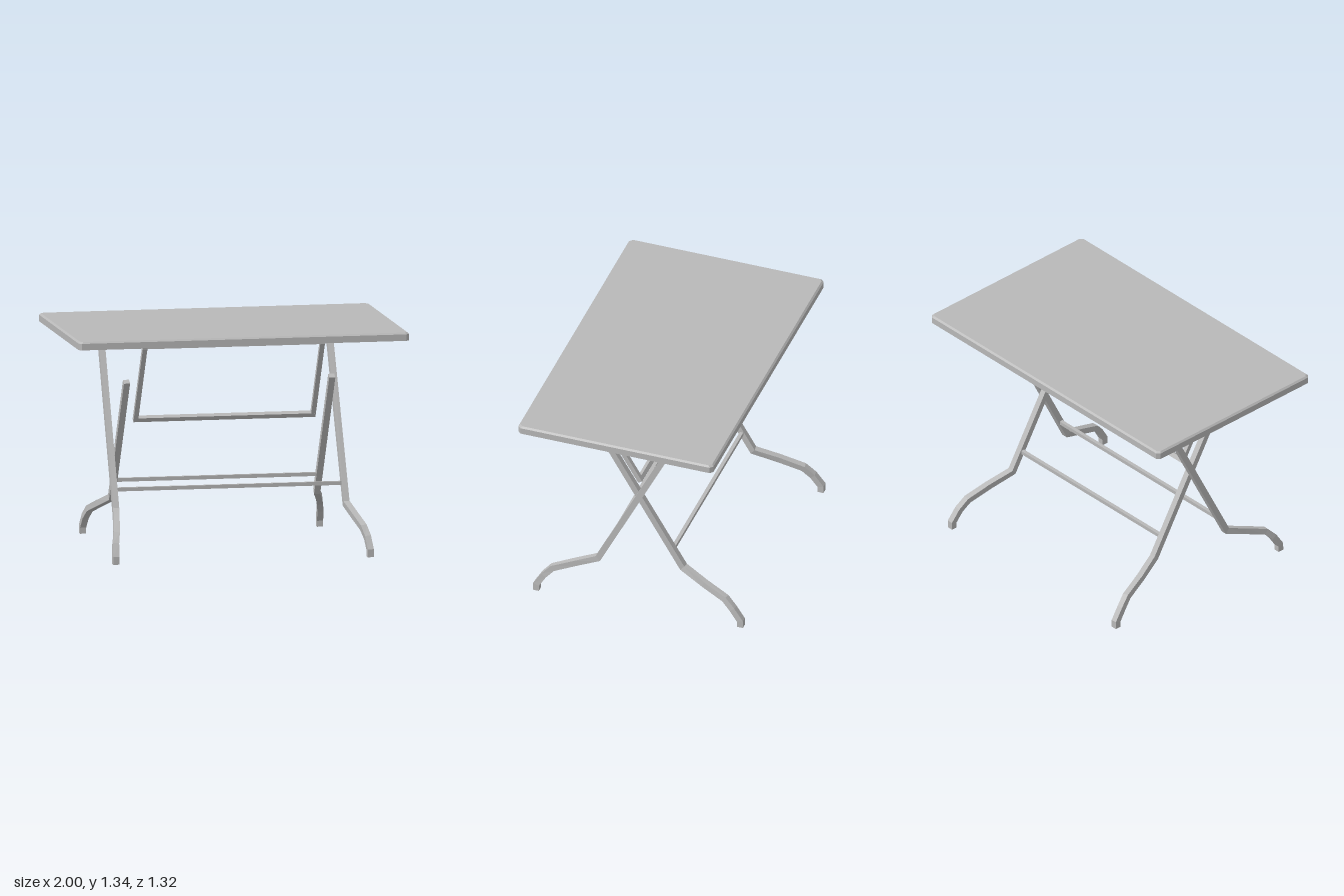
import * as THREE from 'three';

const V = (x, y, z) => new THREE.Vector3(x, y, z);

// Square tube swept along a polyline with mitred joints; ref sets the roll of the section
function squareTube(points, size, ref = V(1, 0, 0)) {
  const h = size / 2, last = points.length - 1;
  const dirs = points.slice(1).map((p, i) => p.clone().sub(points[i]).normalize());
  const rings = points.map((p, i) => {
    const before = dirs[Math.max(i - 1, 0)], after = dirs[Math.min(i, last - 1)];
    const t = before.clone().add(after).normalize();
    const s = ref.clone().addScaledVector(t, -ref.dot(t)).normalize();
    const n = t.clone().cross(s);
    const mitre = h / t.dot(after);
    return [[1, 1], [-1, 1], [-1, -1], [1, -1]].map(([a, b]) =>
      p.clone().addScaledVector(s, a * h).addScaledVector(n, b * mitre));
  });
  const verts = [];
  const quad = (a, b, c, d) => [a, b, c, a, c, d].forEach((v) => verts.push(v.x, v.y, v.z));
  for (let i = 0; i < last; i++) {
    for (let k = 0; k < 4; k++) {
      const j = (k + 1) % 4;
      quad(rings[i][k], rings[i][j], rings[i + 1][j], rings[i + 1][k]);
    }
  }
  quad(...rings[0].slice().reverse());
  quad(...rings[last]);
  const g = new THREE.BufferGeometry();
  g.setAttribute('position', new THREE.Float32BufferAttribute(verts, 3));
  g.computeVertexNormals();
  return g;
}

// Slab with clipped corners and a small bevel round the upper edge
function topGeometry() {
  const w = 1, d = 0.613, c = 0.018, bevel = 0.01;
  const outline = [[w, d - c], [w - c, d], [c - w, d], [-w, d - c],
    [-w, c - d], [c - w, -d], [w - c, -d], [w, c - d]];
  const shape = new THREE.Shape(outline.map(([x, y]) => new THREE.Vector2(x, y)));
  const g = new THREE.ExtrudeGeometry(shape, { depth: 2, steps: 2, bevelEnabled: false });
  const heights = [1.295, 1.334, 1.344];
  g.rotateX(-Math.PI / 2);
  const p = g.attributes.position;
  for (let i = 0; i < p.count; i++) {
    const level = Math.round(p.getY(i));
    if (level === 2) {
      p.setX(i, p.getX(i) * (1 - bevel / w));
      p.setZ(i, p.getZ(i) * (1 - bevel / d));
    }
    p.setY(i, heights[level]);
  }
  g.computeVertexNormals();
  return g.translate(0, 0, 0.048);
}

export function createModel() {
  const grey = new THREE.MeshStandardMaterial({ color: 0xb8b8b8 });
  grey.name = 'grey metal';
  const model = new THREE.Group();
  model.name = 'foldingTable';

  const add = (parent, name, geometry) => {
    const mesh = new THREE.Mesh(geometry, grey);
    mesh.name = name;
    parent.add(mesh);
  };
  const group = (name) => {
    const g = new THREE.Group();
    g.name = name;
    model.add(g);
    return g;
  };
  const pair = (parent, name, path, size) => {
    for (const [side, sign] of [['left', 1], ['right', -1]]) {
      add(parent, side + name, squareTube(path.map(([x, y, z]) => V(sign * x, y, z)), size));
    }
  };
  const bar = (parent, name, halfWidth, y, z, size, ref = V(0, 1, 0)) =>
    add(parent, name, squareTube([V(-halfWidth, y, z), V(halfWidth, y, z)], size, ref));

  add(model, 'tableTop', topGeometry());

  // Outer legs: feet at the front, leaning back to the top
  const outer = group('outerLegFrame');
  pair(outer, 'OuterLeg', [
    [0.77, 0, 0.62], [0.77, 0.042, 0.62], [0.762, 0.112, 0.577], [0.747, 0.165, 0.528],
    [0.72, 0.22, 0.39], [0.697, 0.271, 0.257], [0.69, 1.262, -0.241],
  ], 0.037);
  bar(outer, 'outerTopBar', 0.708, 1.252, -0.238, 0.034, V(0, 0.893, -0.449));
  bar(outer, 'outerLowerBar', 0.69, 0.385, 0.198, 0.022);

  // Inner legs: feet at the back, leaning forward
  const inner = group('innerLegFrame');
  pair(inner, 'InnerLeg', [
    [0.717, 0, -0.645], [0.717, 0.042, -0.645], [0.711, 0.11, -0.595], [0.697, 0.163, -0.54],
    [0.665, 0.215, -0.4], [0.621, 0.271, -0.25], [0.621, 1.03, 0.203],
  ], 0.037);
  bar(inner, 'innerLowerBar', 0.615, 0.385, -0.182, 0.022);

  // Rectangular support carried between the inner legs
  const support = group('supportFrame');
  pair(support, 'SupportRail', [[0.537, 0.775, 0.05], [0.537, 1.258, 0.338]], 0.028);
  bar(support, 'supportTopBar', 0.55, 1.257, 0.333, 0.028);
  bar(support, 'supportBottomBar', 0.55, 0.783, 0.055, 0.028, V(0, 0.859, 0.512));
  pair(support, 'HingePin', [[0.53, 1.0, 0.184], [0.615, 1.0, 0.184]].map((p) => p), 0.018);

  return model;
}
